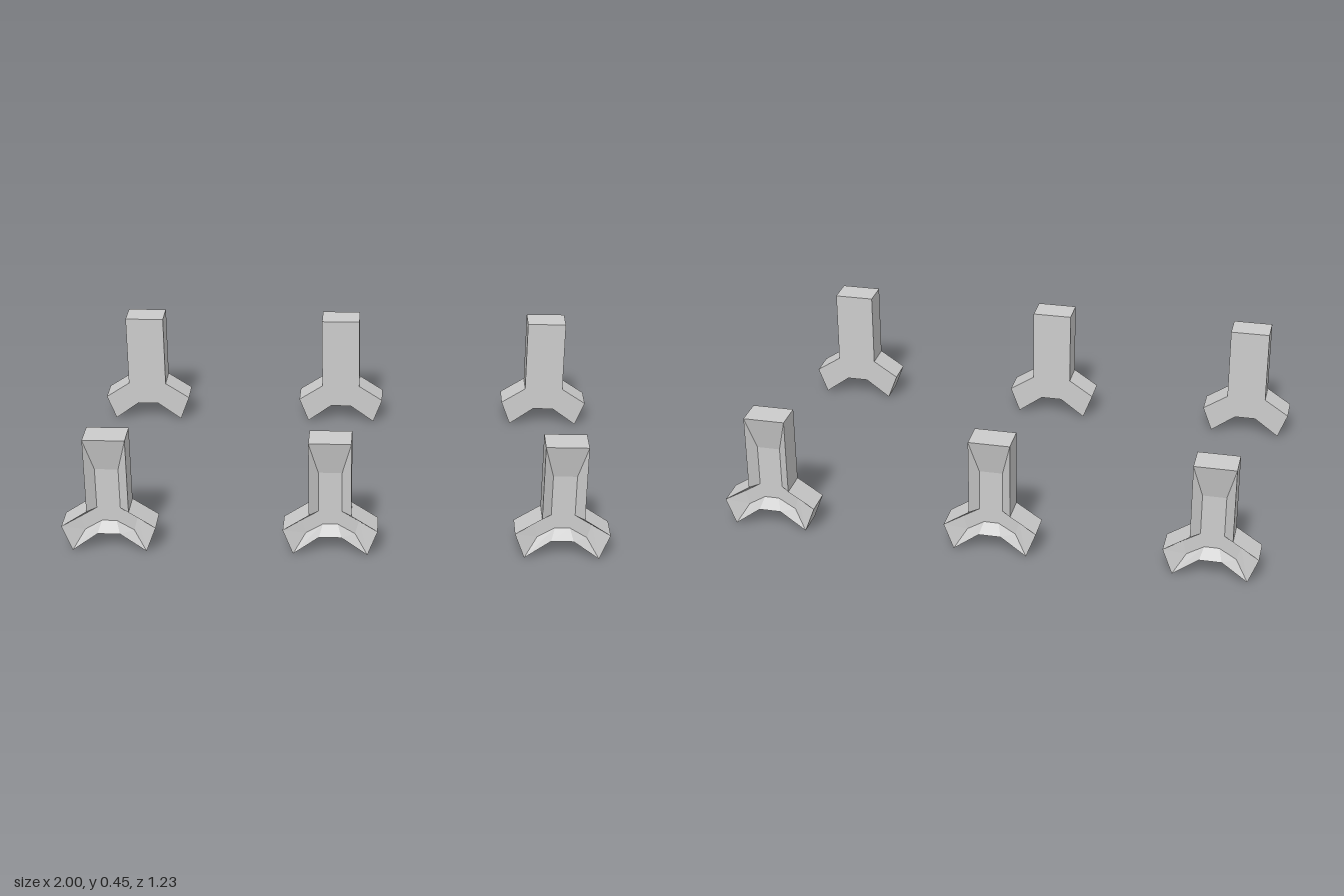
import * as THREE from 'three';

const FRONT = 0.617, BACK = 0.508, RECESS = 0.03;

// Closed outline, counter-clockwise, from its right half (top to bottom)
function mirrored(half) {
  const right = half.map(([x, y]) => new THREE.Vector2(x, y));
  const left = half.map(([x, y]) => new THREE.Vector2(-x, y));
  return [...left, ...right.reverse()];
}

// Forked post: flat inner face, hopper-shaped recess in the outer face
function forkedPostGeometry() {
  const rim = mirrored([[0.077, 0.45], [0.077, 0.16], [0.173, 0.097], [0.136, 0], [0.041, 0.07]]
    .map((p) => p));
  const floor = mirrored([[0.043, 0.32], [0.043, 0.163], [0.105, 0.125], [0.09, 0.072], [0.027, 0.11]]);
  const depth = (FRONT - BACK) / 2;
  const loops = [
    rim.map((p) => [p.x, p.y, -depth]),
    rim.map((p) => [p.x, p.y, depth]),
    floor.map((p) => [p.x, p.y, depth - RECESS]),
  ];
  const pos = [];
  const tri = (a, b, c) => pos.push(...a, ...b, ...c);
  const n = rim.length;

  // outer walls, then the sloping walls of the recess
  for (let k = 0; k < 2; k++) {
    for (let i = 0; i < n; i++) {
      const j = (i + 1) % n;
      tri(loops[k][i], loops[k][j], loops[k + 1][j]);
      tri(loops[k][i], loops[k + 1][j], loops[k + 1][i]);
    }
  }
  // inner face and recess floor
  const cap = (points, loop, flip) => {
    for (const [a, b, c] of THREE.ShapeUtils.triangulateShape(points, [])) {
      const [p, q, r] = [points[a], points[b], points[c]];
      const ccw = (q.x - p.x) * (r.y - p.y) - (q.y - p.y) * (r.x - p.x) > 0;
      if (ccw !== flip) tri(loop[a], loop[b], loop[c]);
      else tri(loop[a], loop[c], loop[b]);
    }
  };
  cap(rim, loops[0], true);
  cap(floor, loops[2], false);

  const geometry = new THREE.BufferGeometry();
  geometry.setAttribute('position', new THREE.Float32BufferAttribute(pos, 3));
  geometry.computeVertexNormals();
  return geometry;
}

export function createModel() {
  const model = new THREE.Group();
  model.name = 'forkedPosts';
  const geometry = forkedPostGeometry();
  const material = new THREE.MeshStandardMaterial({ color: 0xcccccc, flatShading: true });

  // two rows of three, recesses facing outward
  for (const side of [1, -1]) {
    const row = new THREE.Group();
    row.name = side > 0 ? 'frontRow' : 'backRow';
    [[-0.827, 'right'], [-0.017, 'middle'], [0.827, 'left']].forEach(([x, label]) => {
      const post = new THREE.Mesh(geometry, material);
      post.name = `${label}Post`;
      post.position.set(x, 0, side * (FRONT + BACK) / 2);
      post.rotation.y = side > 0 ? 0 : Math.PI;
      row.add(post);
    });
    model.add(row);
  }
  return model;
}
